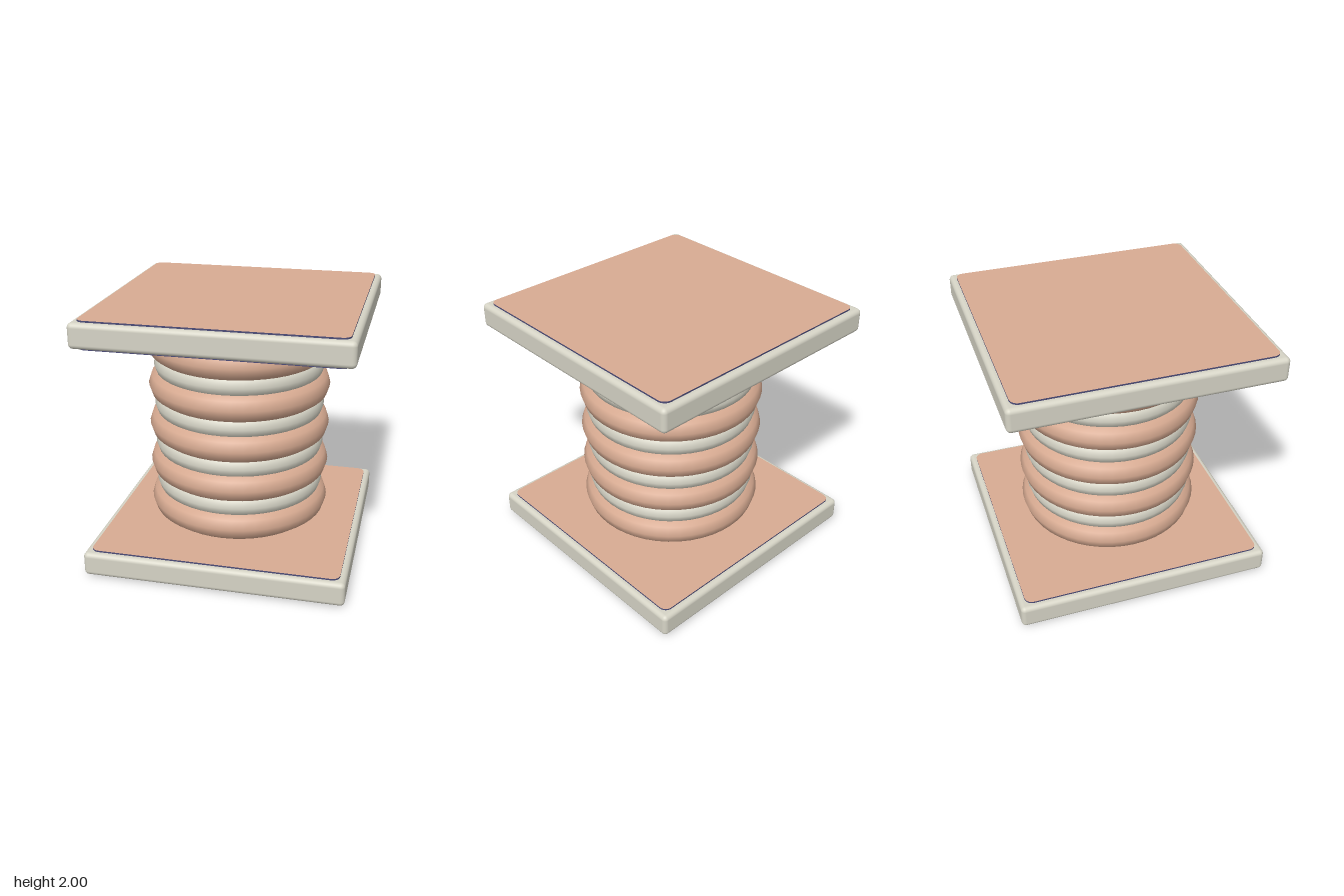
import * as THREE from 'three';
import { RoundedBoxGeometry } from 'three/addons/geometries/RoundedBoxGeometry.js';

export function createModel() {
  const model = new THREE.Group();
  const mat = (name, color) => new THREE.MeshStandardMaterial({ name, color });
  const copper = mat('copper', 0xd8ab92);
  const stone = mat('pale stone', 0xd6d4c6);
  const indigo = mat('indigo', 0x4c4c78);

  const add = (parent, name, geometry, material, y = 0) => {
    const mesh = new THREE.Mesh(geometry, material);
    mesh.name = name;
    mesh.position.y = y;
    parent.add(mesh);
    return mesh;
  };

  // Rounded square outline for the inlaid panels
  const roundedSquare = (h, r) => {
    const s = new THREE.Shape();
    s.moveTo(-h + r, -h);
    s.lineTo(h - r, -h);
    s.absarc(h - r, -h + r, r, -Math.PI / 2, 0);
    s.absarc(h - r, h - r, r, 0, Math.PI / 2);
    s.absarc(-h + r, h - r, r, Math.PI / 2, Math.PI);
    s.absarc(-h + r, -h + r, r, Math.PI, Math.PI * 1.5);
    return s;
  };

  // Square end plates, each with a copper-faced, indigo-edged inlay above and below
  const slab = new RoundedBoxGeometry(1.975, 0.186, 1.975, 4, 0.035);
  const inlay = new THREE.ExtrudeGeometry(roundedSquare(0.94, 0.06), {
    depth: 0.21, bevelEnabled: false, curveSegments: 6,
  });
  inlay.rotateX(-Math.PI / 2).translate(0, -0.105, 0);
  for (const [name, y] of [['basePlate', 0.105], ['topPlate', 1.895]]) {
    const plate = new THREE.Group();
    plate.name = name;
    plate.position.y = y;
    add(plate, 'slab', slab, stone);
    add(plate, 'inlay', inlay, [copper, indigo]);
    model.add(plate);
  }

  // Stack of thick copper rings with slimmer pale rings between them
  const ring = (R, r) => new THREE.TorusGeometry(R, r, 10, 48).rotateX(Math.PI / 2);
  const thick = ring(0.585, 0.12);
  const slim = ring(0.57, 0.092);
  for (let i = 0; i < 5; i++) {
    const y = 0.368 + i * 0.3185;
    add(model, 'copperRing', thick, copper, y);
    if (i < 4) add(model, 'paleRing', slim, stone, y + 0.159);
  }

  // Core: flared dish at the foot, tapering spindle to the top plate
  add(model, 'footDish', new THREE.CylinderGeometry(0.33, 0.25, 0.07, 32), indigo, 0.24);
  add(model, 'spindle', new THREE.CylinderGeometry(0.18, 0.18, 1.44, 32), stone, 0.99);
  add(model, 'spindleTip', new THREE.CylinderGeometry(0.075, 0.18, 0.1, 32), stone, 1.76);

  // Small copper tab on the front of the dish
  const tab = add(model, 'dishTab', new THREE.BoxGeometry(0.14, 0.04, 0.06), copper, 0.24);
  tab.position.z = 0.275;

  return model;
}
